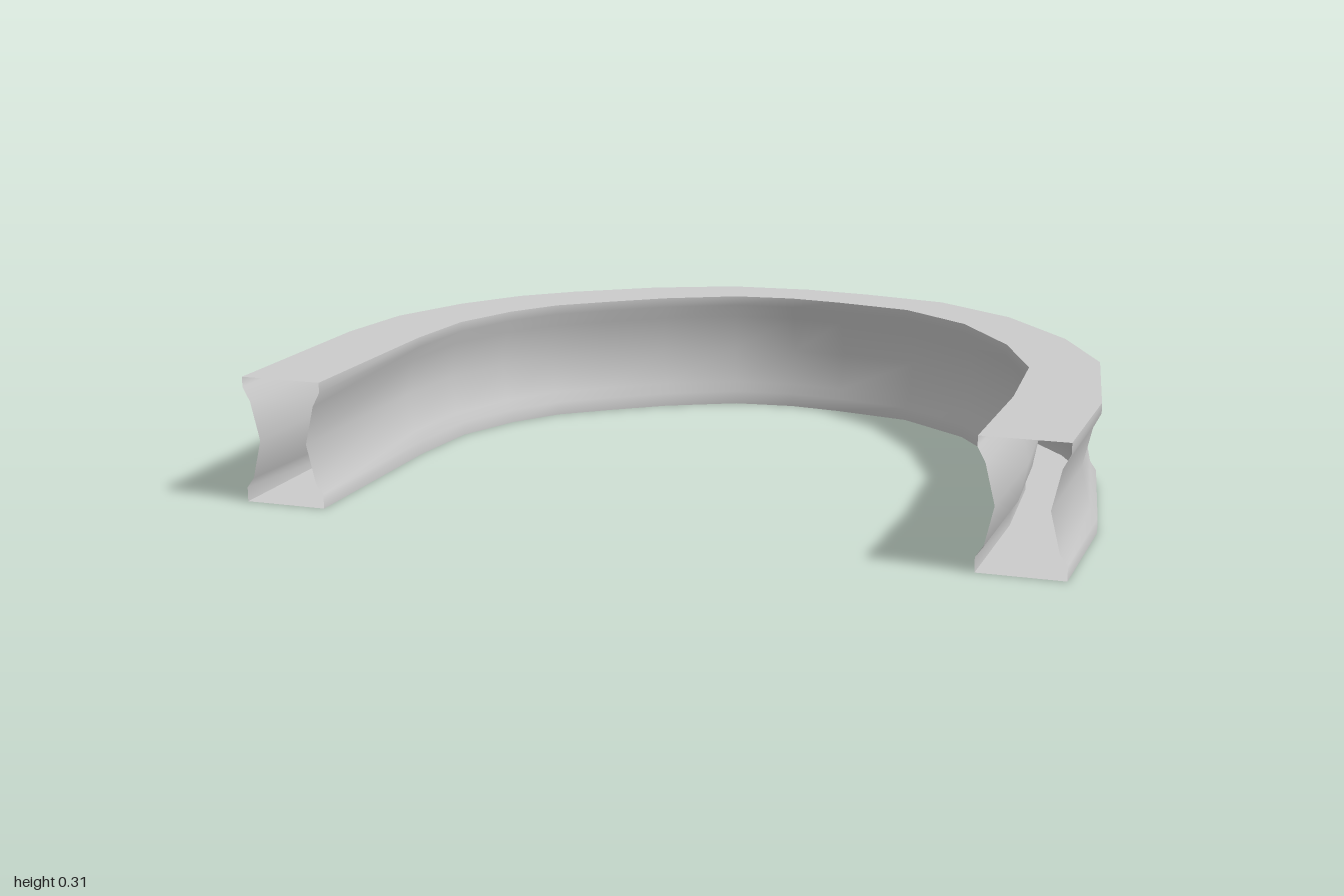
import * as THREE from 'three';

// Plan outline [x, z], running from the right leg round the back to the left leg
const OUTER = [
  [-1, 0.74], [-1, 0.185], [-0.97, -0.04], [-0.88, -0.245], [-0.77, -0.4], [-0.65, -0.505],
  [-0.455, -0.635], [-0.245, -0.725], [-0.025, -0.743], [0.15, -0.725], [0.38, -0.68],
  [0.6, -0.535], [0.795, -0.305], [0.925, -0.06], [1, 0.36], [1, 0.74],
];
const INNER = [
  [-0.795, 0.74], [-0.795, 0.2], [-0.775, -0.015], [-0.705, -0.185], [-0.62, -0.305], [-0.5, -0.4],
  [-0.37, -0.495], [-0.19, -0.585], [-0.03, -0.603], [0.11, -0.587], [0.315, -0.545],
  [0.505, -0.41], [0.665, -0.19], [0.77, 0.05], [0.795, 0.36], [0.795, 0.74],
];
const HEIGHT = 0.31;

// Pinched side profile: [fraction of the width inward, height]
const SIDE = [[0, 0], [0, 0.035], [0.09, 0.06], [0.2, 0.155], [0.09, 0.25], [0, 0.285], [0, HEIGHT]];

// Sweeps an open cross-section along the plan outline
function sweep(name, section, material) {
  const positions = [], index = [], n = section.length;
  OUTER.forEach(([ox, oz], i) => {
    const [ix, iz] = INNER[i];
    for (const [t, y] of section) positions.push(ox + (ix - ox) * t, y, oz + (iz - oz) * t);
    if (i === 0) return;
    for (let j = 0; j < n - 1; j++) {
      const a = (i - 1) * n + j, b = a + n;
      index.push(a, a + 1, b, a + 1, b + 1, b);
    }
  });
  const geometry = new THREE.BufferGeometry();
  geometry.setAttribute('position', new THREE.Float32BufferAttribute(positions, 3));
  geometry.setIndex(index);
  geometry.computeVertexNormals();
  const mesh = new THREE.Mesh(geometry, material);
  mesh.name = name;
  return mesh;
}

export function createModel() {
  const group = new THREE.Group();
  group.name = 'curvedChannel';
  // The shell is hollow and open at both leg ends
  const material = new THREE.MeshStandardMaterial({ color: 0xcccccc, side: THREE.DoubleSide });
  const innerSide = SIDE.map(([t, y]) => [1 - t, y]).reverse();
  group.add(
    sweep('outerWall', SIDE, material),
    sweep('topFace', [[0, HEIGHT], [1, HEIGHT]], material),
    sweep('innerWall', innerSide, material),
    sweep('bottomFace', [[1, 0], [0, 0]], material),
  );
  return group;
}
